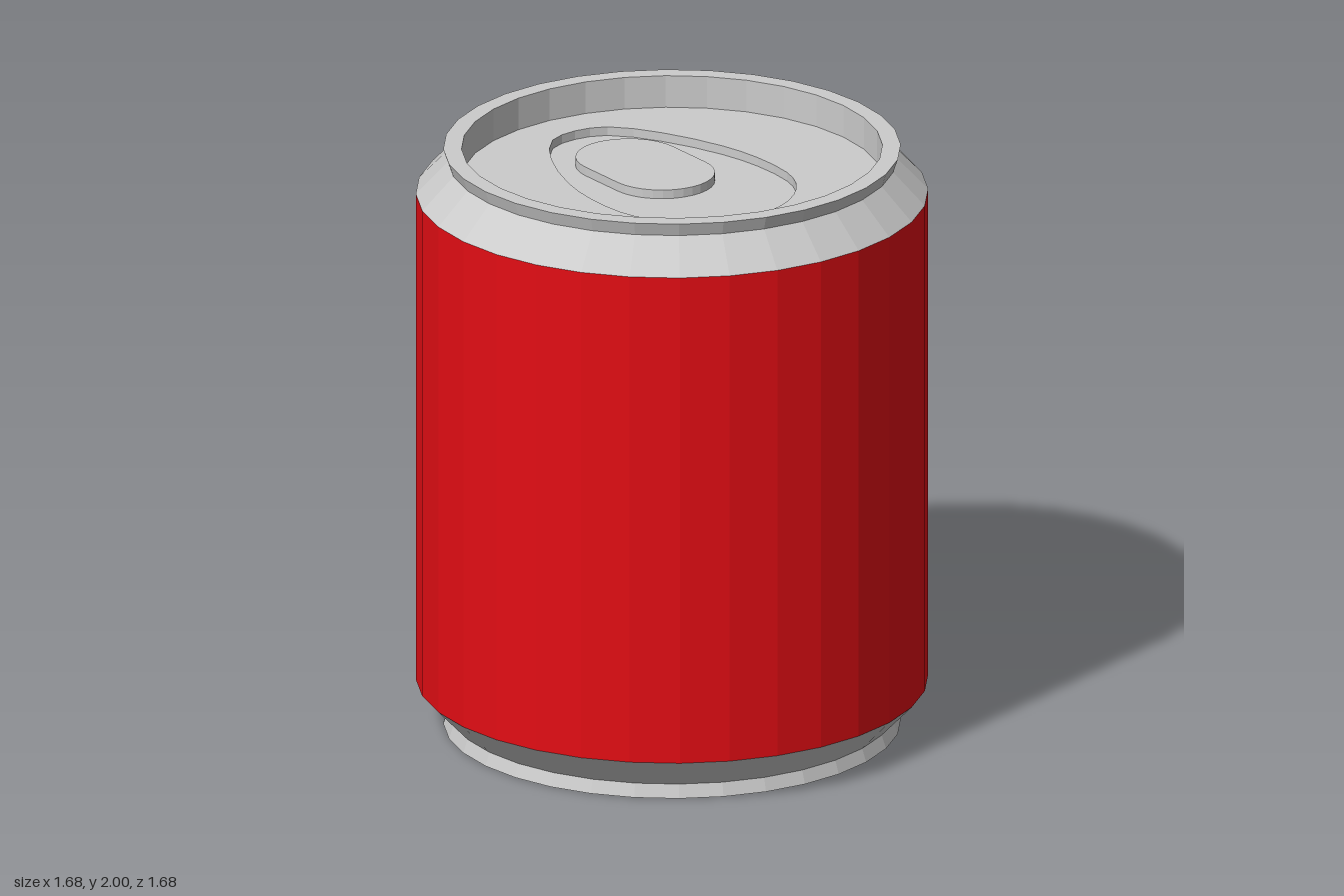
import * as THREE from 'three';

const SIDES = 32;
const grey = new THREE.MeshStandardMaterial({ color: 0xcccccc, flatShading: true });
const red = new THREE.MeshStandardMaterial({ color: 0xe30d14, flatShading: true });

export function createModel() {
  const can = new THREE.Group();
  can.name = 'drinkCan';

  const add = (name, geometry, material = grey, y = 0) => {
    const mesh = new THREE.Mesh(geometry, material);
    mesh.name = name;
    mesh.position.y = y;
    can.add(mesh);
  };
  const lathe = (profile) =>
    new THREE.LatheGeometry(profile.map(([r, y]) => new THREE.Vector2(r, y)), SIDES);
  // lay a flat shape down so that shape y becomes -z
  const lay = (geometry) => geometry.rotateX(-Math.PI / 2);
  const slab = (shape, depth) =>
    lay(new THREE.ExtrudeGeometry(shape, { depth, bevelEnabled: false, curveSegments: 8 }));

  const lidY = 1.89, recess = 0.03, floorY = lidY - recess;

  // Body wall
  add('body', lathe([[0.84, 0.155], [0.84, 1.845]]), red);

  // Shoulder, rolled rim and inner rim wall at the top
  add('topRim', lathe([[0.84, 1.845], [0.735, 1.955], [0.75, 2], [0.69, 2], [0.69, floorY]]));

  // Mirrored rim at the base, with a recessed panel
  add('bottomRim', lathe([[0.69, 0.11], [0.69, 0], [0.75, 0], [0.735, 0.045], [0.84, 0.155]]));
  add('bottomPanel', new THREE.CircleGeometry(0.69, SIDES).rotateX(Math.PI / 2), grey, 0.11);

  // Egg-shaped recess outline: right half, mirrored about its centre line
  const cx = 0.008;
  const half = [[0.11, 0.53], [0.222, 0.38], [0.31, 0.16], [0.338, 0],
    [0.333, -0.17], [0.298, -0.27], [0.225, -0.36], [0.12, -0.425]];
  const outline = [[0, 0.56], ...half, [0, -0.45],
    ...half.slice().reverse().map(([x, y]) => [-x, y])];
  const egg = new THREE.CatmullRomCurve3(
    outline.map(([x, y]) => new THREE.Vector3(cx + x, y, 0)), true)
    .getPoints(36).slice(0, -1).map((p) => new THREE.Vector2(p.x, p.y));

  // Lid with the recess cut through it, and the recess floor
  const disc = [];
  for (let i = 0; i < SIDES; i++) {
    const a = (i / SIDES) * Math.PI * 2;
    disc.push(new THREE.Vector2(0.69 * Math.cos(a), 0.69 * Math.sin(a)));
  }
  const lid = new THREE.Shape(disc);
  lid.holes.push(new THREE.Path(egg));
  add('lid', slab(lid, recess), grey, floorY);
  add('recessFloor', lay(new THREE.ShapeGeometry(new THREE.Shape(egg))), grey, floorY);

  // Raised pill-shaped tab inside the recess
  const r = 0.175;
  const pill = new THREE.Shape();
  pill.absarc(cx, 0.255, r, 0, Math.PI, false);
  pill.absarc(cx, 0.07, r, Math.PI, Math.PI * 2, false);
  pill.closePath();
  add('tab', slab(pill, recess), grey, floorY);

  return can;
}
